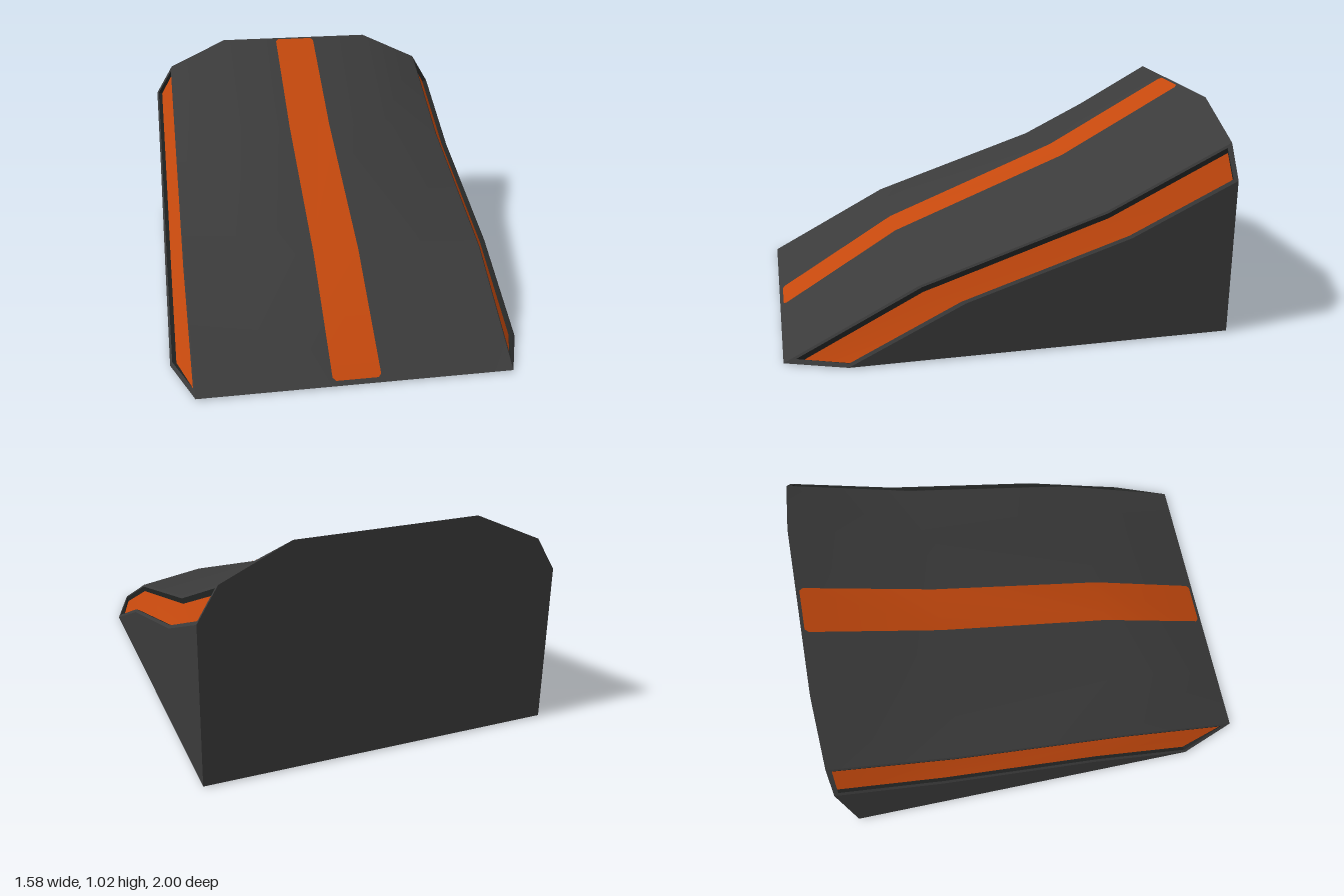
import * as THREE from 'three';
import { toCreasedNormals } from 'three/addons/utils/BufferGeometryUtils.js';

const V = (x, y, z) => new THREE.Vector3(x, y, z);
const mirrorPoint = (p) => V(-p.x, p.y, p.z);

// Collects triangles from quads, strips and fans
class Surface {
  constructor() { this.tris = []; }
  tri(a, b, c) {
    const area = b.clone().sub(a).cross(c.clone().sub(a)).length();
    if (area > 1e-7) this.tris.push([a, b, c]);
  }
  quad(a, b, c, d) { this.tri(a, b, c); this.tri(a, c, d); }
  // Joins two rails running front to back; b lies inboard of a
  strip(a, b) {
    for (let i = 0; i < a.length - 1; i++) this.quad(b[i], a[i], a[i + 1], b[i + 1]);
  }
  fan(points) {
    for (let i = 1; i < points.length - 1; i++) this.tri(points[0], points[i], points[i + 1]);
  }
  // Adds the same faces on the other side of x = 0
  mirror() {
    for (const [a, b, c] of [...this.tris]) this.tris.push([mirrorPoint(a), mirrorPoint(c), mirrorPoint(b)]);
  }
  mesh(name, material) {
    const geometry = new THREE.BufferGeometry().setFromPoints(this.tris.flat());
    const mesh = new THREE.Mesh(toCreasedNormals(geometry, 0.5), material);
    mesh.name = name;
    return mesh;
  }
}

export function createModel() {
  const group = new THREE.Group();
  group.name = 'ramp';
  const material = (name, color) => {
    const m = new THREE.MeshStandardMaterial({ color });
    m.name = name;
    return m;
  };
  const charcoal = material('charcoal', 0x3b3b3b);
  const darkTrim = material('darkTrim', 0x242625);
  const orange = material('orange', 0xc4480d);

  // Rails on the left side, front to back
  const lower = [V(0.79, 0, 0.73), V(0.79, 0.25, 0.22), V(0.79, 0.49, -0.52), V(0.79, 0.72, -1)];
  const upper = [V(0.69, 0, 1), V(0.7, 0.31, 0.41), V(0.7, 0.59, -0.43), V(0.7, 0.87, -1)];
  const crown = [V(0.4, 0, 1), V(0.4, 0.35, 0.43), V(0.4, 0.68, -0.4), V(0.4, 1.01, -1)];
  const base = lower.map((p) => V(p.x, 0, p.z));

  // Groove rim, set in from the edges of the bevel
  const rim = (t) => {
    const r = lower.map((p, i) => p.clone().lerp(upper[i], t));
    r[0].lerp(r[1], 0.06);
    r[3].lerp(r[2], 0.04);
    return r;
  };
  const rimLow = rim(0.1), rimHigh = rim(0.93);
  const floorLow = rimLow.map((p) => p.clone().add(V(-0.018, -0.008, -0.005)));
  const floorHigh = rimHigh.map((p) => p.clone().add(V(-0.004, -0.024, -0.005)));

  // Closed frame between an outer and an inner pair of rails
  const frame = (s, outLow, outHigh, inLow, inHigh) => {
    s.strip(outLow, inLow);
    s.strip(inHigh, outHigh);
    s.quad(outHigh[0], outLow[0], inLow[0], inHigh[0]);
    s.quad(inHigh[3], inLow[3], outLow[3], outHigh[3]);
  };

  // Ramp body: sides, bevel frames and shoulders mirrored, then the middle
  const body = new Surface();
  body.strip(base, lower);
  frame(body, lower, upper, rimLow, rimHigh);
  body.strip(upper, crown);
  body.mirror();
  body.strip(crown, crown.map(mirrorPoint));
  const backHalf = [crown[3], upper[3], lower[3], base[3]];
  body.fan([...backHalf, ...backHalf.map(mirrorPoint).reverse()]);
  const baseHalf = [base[3], base[0], upper[0]];
  body.fan([...baseHalf, ...baseHalf.map(mirrorPoint).reverse()]);
  group.add(body.mesh('rampBody', charcoal));

  // Groove walls around the side stripes
  const walls = new Surface();
  frame(walls, rimLow, rimHigh, floorLow, floorHigh);
  walls.mirror();
  group.add(walls.mesh('grooveWalls', darkTrim));

  // Recessed side stripes
  const sideStripes = new Surface();
  sideStripes.strip(floorLow, floorHigh);
  sideStripes.mirror();
  group.add(sideStripes.mesh('sideStripes', orange));

  // Centre stripe with clipped corners, just above the ramp surface
  const along = (i, j, t) => crown[i].clone().lerp(crown[j], t);
  const path = [along(0, 1, 0.03), along(0, 1, 0.055), crown[1], crown[2], along(3, 2, 0.05), along(3, 2, 0.025)];
  const edge = path.map((p, i) => V(i === 0 || i === 5 ? 0.093 : 0.106, p.y + 0.005, p.z));
  const centreStripe = new Surface();
  centreStripe.strip(edge, edge.map(mirrorPoint));
  group.add(centreStripe.mesh('centreStripe', orange));

  return group;
}
